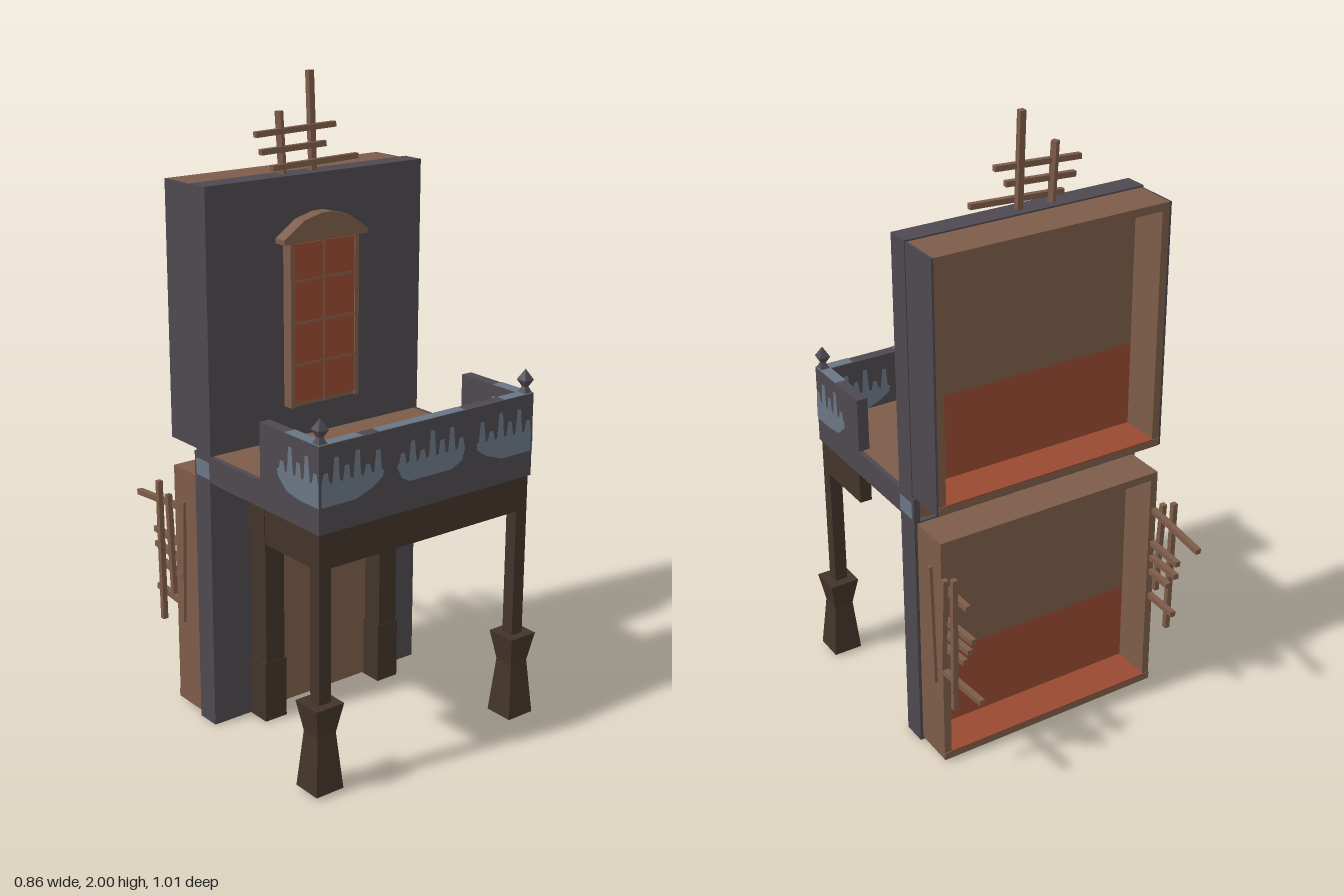
import * as THREE from 'three';

const mat = (name, color) => {
  const m = new THREE.MeshStandardMaterial({ color, side: THREE.DoubleSide, flatShading: true });
  m.name = name;
  return m;
};

export function createModel() {
  const model = new THREE.Group();
  model.name = 'balconyFacade';
  const wood = mat('warm wood', 0x7d5c49);
  const dark = mat('dark timber', 0x43342a);
  const stone = mat('grey plaster', 0x4e4950);
  const frost = mat('blue stain', 0x6a7684);
  const red = mat('red glass', 0x984930);

  const add = (name, geo, m, parent = model) => {
    const mesh = new THREE.Mesh(geo, m);
    mesh.name = name;
    parent.add(mesh);
    return mesh;
  };
  // Box given by its low and high limits on each axis
  const box = (name, m, x0, x1, y0, y1, z0, z1, parent = model) => {
    const mesh = add(name, new THREE.BoxGeometry(Math.abs(x1 - x0), y1 - y0, z1 - z0), m, parent);
    mesh.position.set((x0 + x1) / 2, (y0 + y1) / 2, (z0 + z1) / 2);
    return mesh;
  };
  // Square stick between two points
  const stick = (name, a, b, t, parent) => {
    const p = new THREE.Vector3(...a), q = new THREE.Vector3(...b);
    const mesh = add(name, new THREE.BoxGeometry(t, t, p.distanceTo(q)), wood, parent);
    mesh.position.copy(p).lerp(q, 0.5);
    mesh.lookAt(q);
    return mesh;
  };
  const polygon = pts => new THREE.Shape(pts.map(p => new THREE.Vector2(...p)));
  const extrude = (pts, depth) => new THREE.ExtrudeGeometry(polygon(pts), { depth, bevelEnabled: false });

  // Open-backed trays behind the facade
  const tray = (name, y0, y1, zf, zb) => {
    const g = new THREE.Group();
    g.name = name;
    model.add(g);
    const X = 0.395, t = 0.025, split = y0 + (y1 - y0) * 0.38;
    box('trayBackUpper', wood, -X + t, X - t, split, y1 - t, zf - 0.012, zf, g);
    box('trayBackLower', red, -X + t, X - t, y0 + t, split, zf - 0.012, zf, g);
    box('trayTop', wood, -X, X, y1 - t, y1, zb, zf, g);
    box('trayBottom', wood, -X, X, y0, y0 + t, zb - 0.003, zf, g);
    box('trayFloor', red, -X + t, X - t, y0 + t, y0 + t + 0.004, zb - 0.006, zf, g);
    for (const s of [-1, 1]) box('traySide', wood, s * (X - t), s * X, y0 + t, y1 - t, zb, zf, g);
  };
  tray('lowerTray', 0.01, 0.805, -0.125, -0.265);
  tray('upperTray', 0.9, 1.7, -0.12, -0.26);
  for (const s of [-1, 1]) box('upperTrayCladding', stone, s * 0.395, s * 0.402, 0.9, 1.7, -0.26, -0.12);

  // Facade walls and door
  box('lowerWall', stone, -0.405, 0.405, 0, 0.81, -0.13, -0.05);
  box('upperWall', stone, -0.405, 0.405, 0.89, 1.705, -0.12, -0.045);
  box('door', wood, -0.2, 0.2, 0.005, 0.76, -0.05, -0.043);
  box('doorPlate', dark, -0.014, 0.014, 0.555, 0.635, -0.043, -0.036);
  box('doorStud', dark, -0.005, 0.005, 0.075, 0.09, -0.043, -0.038);

  // Window with glazing bars and hood
  box('windowFrame', wood, -0.13, 0.13, 1.0, 1.52, -0.045, -0.016);
  box('windowGlass', red, -0.115, 0.115, 1.012, 1.505, -0.016, -0.012);
  box('glazingBar', wood, -0.004, 0.004, 1.0, 1.51, -0.013, -0.01);
  for (let i = 1; i < 4; i++) {
    box('glazingBar', wood, -0.115, 0.115, 0.997 + i * 0.13, 1.005 + i * 0.13, -0.013, -0.01);
  }
  for (const s of [-1, 1]) box('frameEdge', wood, s * 0.115, s * 0.13, 1.0, 1.51, -0.016, -0.008);
  const hood = add('windowHood', extrude([[-0.158, 1.51], [0.158, 1.51], [0.158, 1.525],
    [0.085, 1.575], [0.02, 1.592], [-0.02, 1.592], [-0.085, 1.575], [-0.158, 1.525]], 0.045), wood);
  hood.position.z = -0.045;

  // Balcony deck and parapet
  box('deck', wood, -0.39, 0.39, 0.815, 0.893, -0.12, 0.455);
  box('frontParapet', stone, -0.405, 0.405, 0.81, 1.07, 0.45, 0.487);
  box('frontBeam', dark, -0.4, 0.4, 0.7, 0.81, 0.44, 0.48);

  // Stain outline: flat lower edge, rising fingers of uneven height
  const fingers = [0.99, 1.03, 1.0, 1.035, 0.985, 1.02];
  const stainShape = (low, x0, x1) => {
    const pts = [...low];
    const n = Math.round((x1 - x0) / 0.036), w = (x1 - x0) / n;
    for (let i = 0; i < n; i++) {
      const r = x1 - i * w, top = fingers[i % fingers.length];
      pts.push([r, 0.955], [r - w * 0.2, top], [r - w * 0.6, top], [r - w * 0.75, 0.96]);
    }
    pts.push([x0, 0.955]);
    return new THREE.ShapeGeometry(polygon(pts));
  };
  const centre = stainShape([[-0.11, 0.915], [-0.08, 0.9], [0.08, 0.9], [0.12, 0.92]], -0.13, 0.13);
  const corner = stainShape([[0.18, 0.935], [0.22, 0.91], [0.28, 0.89], [0.398, 0.89]], 0.175, 0.398);
  const side = stainShape([[0.3, 0.935], [0.34, 0.9], [0.4, 0.89], [0.487, 0.89]], 0.295, 0.487);
  for (const z of [0.489, 0.448]) {
    const inner = z < 0.45 ? 0.92 : 1;
    add('centreStain', centre, frost).position.z = z;
    for (const s of [-1, 1]) {
      const m = add('cornerStain', corner, frost);
      m.position.z = z;
      m.scale.x = s * inner;
    }
  }
  box('topStain', frost, -0.19, 0.13, 1.07, 1.072, 0.452, 0.487);
  box('topStain', frost, 0.29, 0.405, 1.07, 1.072, 0.452, 0.487);
  box('topStain', frost, -0.405, -0.25, 1.07, 1.072, 0.452, 0.487);

  // Waisted four-sided block, made from stacked square sections
  const block = (name, m, profile, x, z) => {
    const geo = new THREE.LatheGeometry(
      profile.map(([r, y]) => new THREE.Vector2(r * Math.SQRT2, y)), 4, Math.PI / 4).toNonIndexed();
    geo.computeVertexNormals();
    add(name, geo, m).position.set(x, 0, z);
  };

  for (const s of [-1, 1]) {
    box('deckFascia', stone, s * 0.385, s * 0.405, 0.81, 0.892, -0.13, 0.45);
    box('sideParapet', stone, s * 0.368, s * 0.405, 0.89, 1.07, 0.21, 0.45);
    box('sideBeam', dark, s * 0.36, s * 0.4, 0.7, 0.81, 0.225, 0.44);
    box('fasciaStain', frost, s * 0.405, s * 0.407, 0.82, 0.872, -0.12, -0.05);
    box('railTopStain', frost, s * 0.368, s * 0.405, 1.07, 1.072, s < 0 ? 0.33 : 0.35, 0.452);
    for (const x of [0.407, 0.366]) {
      const m = add('sideStain', side, frost);
      m.rotation.y = -Math.PI / 2;
      m.position.x = s * x;
    }
    // Finial
    block('finial', stone, [[0, 1.07], [0.016, 1.07], [0.007, 1.09], [0.018, 1.112], [0, 1.145]], s * 0.387, 0.468);
    // Front post and flared foot
    box('frontPost', dark, s * 0.357, s * 0.4, 0.25, 0.72, 0.438, 0.48);
    block('postFoot', dark, [[0, 0.01], [0.049, 0.01], [0.033, 0.19], [0.05, 0.285], [0, 0.285]], s * 0.381, 0.458);
    // Wall column, capital, bracket and arch corner
    box('wallColumn', dark, s * 0.192, s * 0.262, 0, 0.81, -0.05, 0.03);
    box('columnFoot', dark, s * 0.187, s * 0.268, 0, 0.2, -0.05, 0.032);
    box('capital', dark, s * 0.186, s * 0.268, 0.635, 0.81, -0.05, 0.034);
    const bracket = add('deckBracket', extrude([[0.0, 0.81], [-0.12, 0.81], [-0.034, 0.63], [0, 0.63]], 0.076), dark);
    bracket.rotation.y = Math.PI / 2;
    bracket.position.x = s * 0.227 - 0.038;
    const arch = add('archCorner', extrude([[0.19, 0.635], [0.165, 0.65], [0.14, 0.68], [0.1, 0.7],
      [0, 0.712], [0, 0.81], [0.19, 0.81]], 0.04), dark);
    arch.scale.x = s;
    arch.position.z = -0.043;
  }

  // Broken lattice on the roof
  const roof = new THREE.Group();
  roof.name = 'roofLattice';
  model.add(roof);
  stick('latticePost', [0.012, 1.69, -0.085], [0.012, 2.0, -0.1], 0.019, roof);
  stick('latticePost', [-0.1, 1.69, -0.085], [-0.105, 1.89, -0.095], 0.019, roof);
  for (const [x0, y0, x1, y1, z] of [[-0.195, 1.828, 0.09, 1.838, -0.083],
    [-0.18, 1.776, 0.05, 1.784, -0.078], [-0.145, 1.727, 0.165, 1.737, -0.07]]) {
    stick('latticeBar', [x0, y0, z - 0.008], [x1, y1, z + 0.004], 0.017, roof);
  }

  // Broken lattices beside the lower tray: far end and heights of each bar
  const lattice = (s, bars) => {
    const g = new THREE.Group();
    g.name = s > 0 ? 'leftLattice' : 'rightLattice';
    model.add(g);
    for (const [y0, y1, z] of bars) stick('latticeBar', [s * 0.388, y0, -0.24], [s * 0.388 - 0.01 * s, y1, z], 0.018, g);
    stick('latticePost', [s * 0.4, 0.37, -0.275], [s * 0.4, 0.7, -0.295], 0.017, g);
    stick('latticePost', [s * 0.4, 0.26, -0.34], [s * 0.4, 0.73, -0.348], 0.017, g);
    stick('latticeBatten', [s * 0.398, 0.29, -0.225], [s * 0.398, 0.7, -0.208], 0.014, g);
  };
  lattice(1, [[0.655, 0.645, -0.39], [0.54, 0.545, -0.42], [0.49, 0.496, -0.4], [0.44, 0.442, -0.37], [0.345, 0.355, -0.465]]);
  lattice(-1, [[0.67, 0.643, -0.505], [0.545, 0.545, -0.41], [0.49, 0.496, -0.405], [0.438, 0.442, -0.37], [0.345, 0.35, -0.4]]);

  return model;
}
